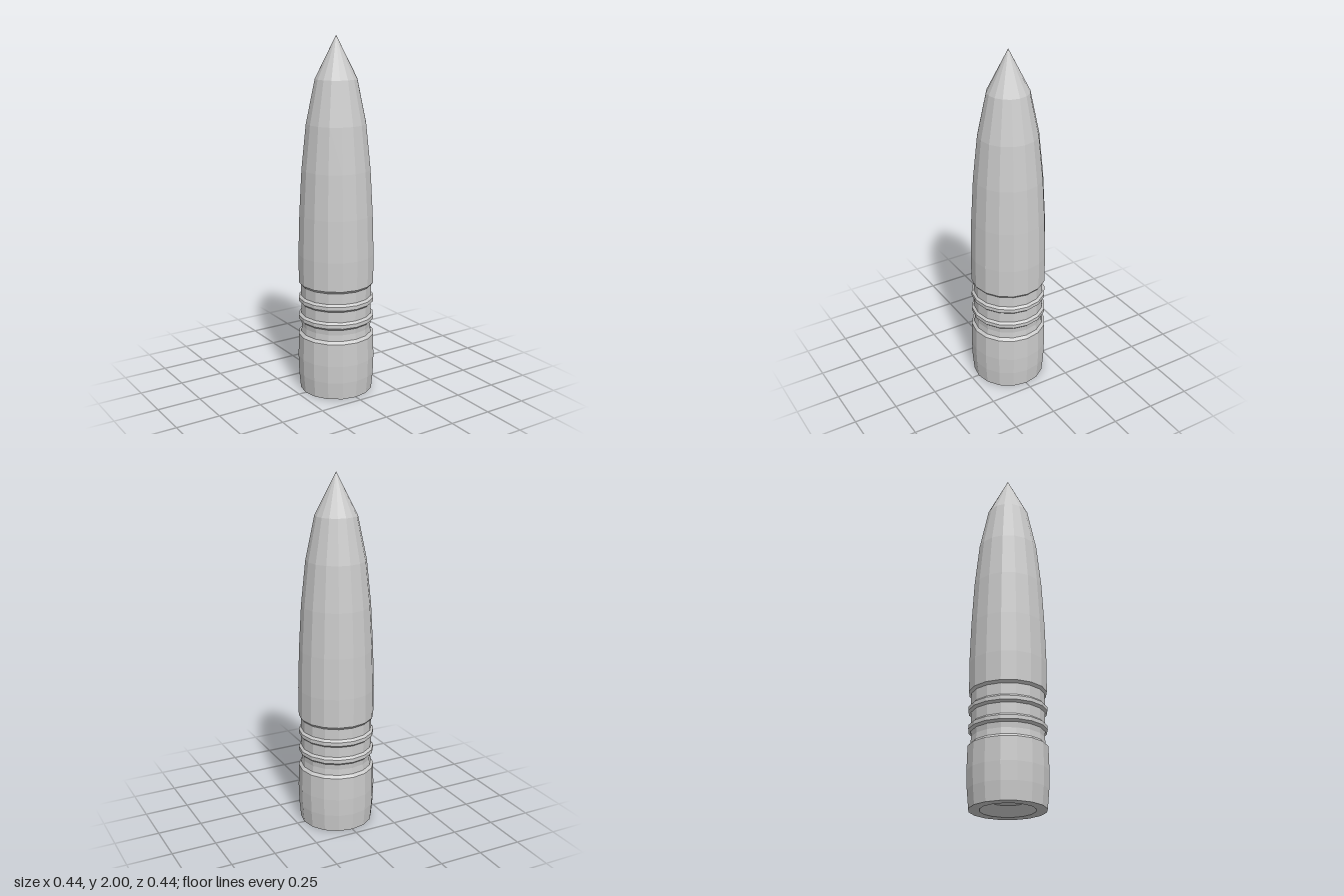
import * as THREE from 'three';

const SIDES = 16;

export function createModel() {
  const model = new THREE.Group();
  model.name = 'bullet';
  const material = new THREE.MeshStandardMaterial({ color: 0xcccccc, flatShading: true });

  // Turns a [radius, height] profile around the y axis
  const turn = (name, profile) => {
    const points = profile.map(([r, y]) => new THREE.Vector2(r, y));
    const mesh = new THREE.Mesh(new THREE.LatheGeometry(points, SIDES), material);
    mesh.name = name;
    model.add(mesh);
  };

  // Hollow in the base and the flat rim around it
  turn('baseCavity', [[0, 0.05], [0.1, 0.05], [0.148, 0], [0.206, 0]]);

  // Slightly barrelled heel with a bevelled shoulder
  turn('heel', [[0.206, 0], [0.215, 0.1], [0.218, 0.2], [0.215, 0.33], [0.2, 0.345]]);

  // Grooved band: two raised rings between three grooves
  const band = [[0.2, 0.345], [0.197, 0.38]];
  for (const y of [0.41, 0.515]) {
    band.push([0.2, y], [0.213, y + 0.012], [0.213, y + 0.033], [0.2, y + 0.045]);
  }
  band.push([0.2, 0.622], [0.212, 0.636]);
  turn('groovedBand', band);

  // Long tapering body
  turn('body', [[0.212, 0.636], [0.213, 0.8], [0.206, 1.03], [0.192, 1.28], [0.166, 1.53], [0.116, 1.77]]);

  // Pointed tip
  turn('tip', [[0.116, 1.77], [0, 2]]);

  return model;
}
